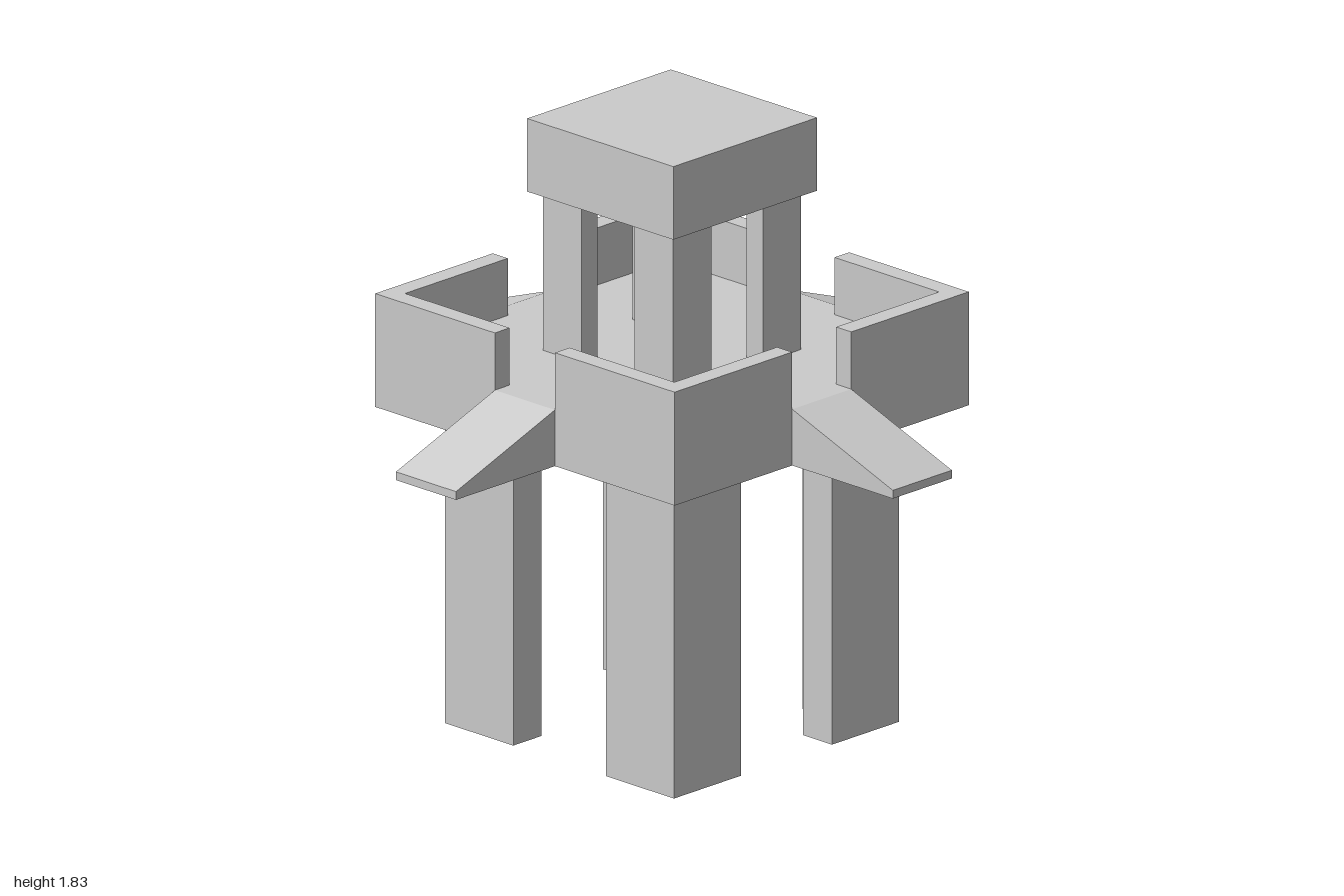
import * as THREE from 'three';

const material = new THREE.MeshStandardMaterial({ color: 0xcccccc, flatShading: true });

const BASE = 0.957, DECK = 1.127, WALL_TOP = 1.3, CAP_BOTTOM = 1.607, CAP_TOP = 1.828;

function polygon(points) {
  return new THREE.Shape(points.map(([x, y]) => new THREE.Vector2(x, y)));
}

function extrude(points, depth) {
  return new THREE.ExtrudeGeometry(polygon(points), { depth, bevelEnabled: false });
}

// Square slab centred on the y axis, between two heights
function slab(name, half, y0, y1) {
  const geometry = new THREE.BoxGeometry(half * 2, y1 - y0, half * 2);
  geometry.translate(0, (y0 + y1) / 2, 0);
  const mesh = new THREE.Mesh(geometry, material);
  mesh.name = name;
  return mesh;
}

// L-section upright with its corner facing outwards at (outer, outer)
function cornerGeometry(inner, outer, thickness, y0, y1) {
  const step = outer - thickness;
  const geometry = extrude([
    [outer, outer], [inner, outer], [inner, step],
    [step, step], [step, inner], [outer, inner],
  ], y1 - y0);
  geometry.rotateX(-Math.PI / 2);
  geometry.translate(0, y0, 0);
  return geometry;
}

// Four copies of a part, turned about the y axis
function fourfold(groupName, partName, geometry) {
  const group = new THREE.Group();
  group.name = groupName;
  for (let i = 0; i < 4; i++) {
    const mesh = new THREE.Mesh(geometry, material);
    mesh.name = partName + (i + 1);
    mesh.rotation.y = i * Math.PI / 2;
    group.add(mesh);
  }
  return group;
}

export function createModel() {
  const model = new THREE.Group();
  model.name = 'tower';

  // Angle-section legs under the deck
  model.add(fourfold('legs', 'leg', cornerGeometry(0.185, 0.457, 0.115, 0, BASE)));

  // Platform with a corner parapet on each corner
  model.add(slab('deck', 0.598, BASE, DECK));
  model.add(fourfold('parapets', 'parapet', cornerGeometry(0.12, 0.598, 0.06, DECK, WALL_TOP)));

  // Sloping ramps in the gaps between the parapets
  const ramp = extrude([[0.598, BASE], [1, BASE], [1, 0.982], [0.598, DECK]], 0.24);
  ramp.translate(0, 0, -0.12);
  model.add(fourfold('ramps', 'ramp', ramp));

  // Slim posts carrying the roof block
  model.add(fourfold('posts', 'post', cornerGeometry(0.105, 0.26, 0.065, DECK, CAP_BOTTOM)));
  model.add(slab('roof', 0.292, CAP_BOTTOM, CAP_TOP));

  return model;
}
